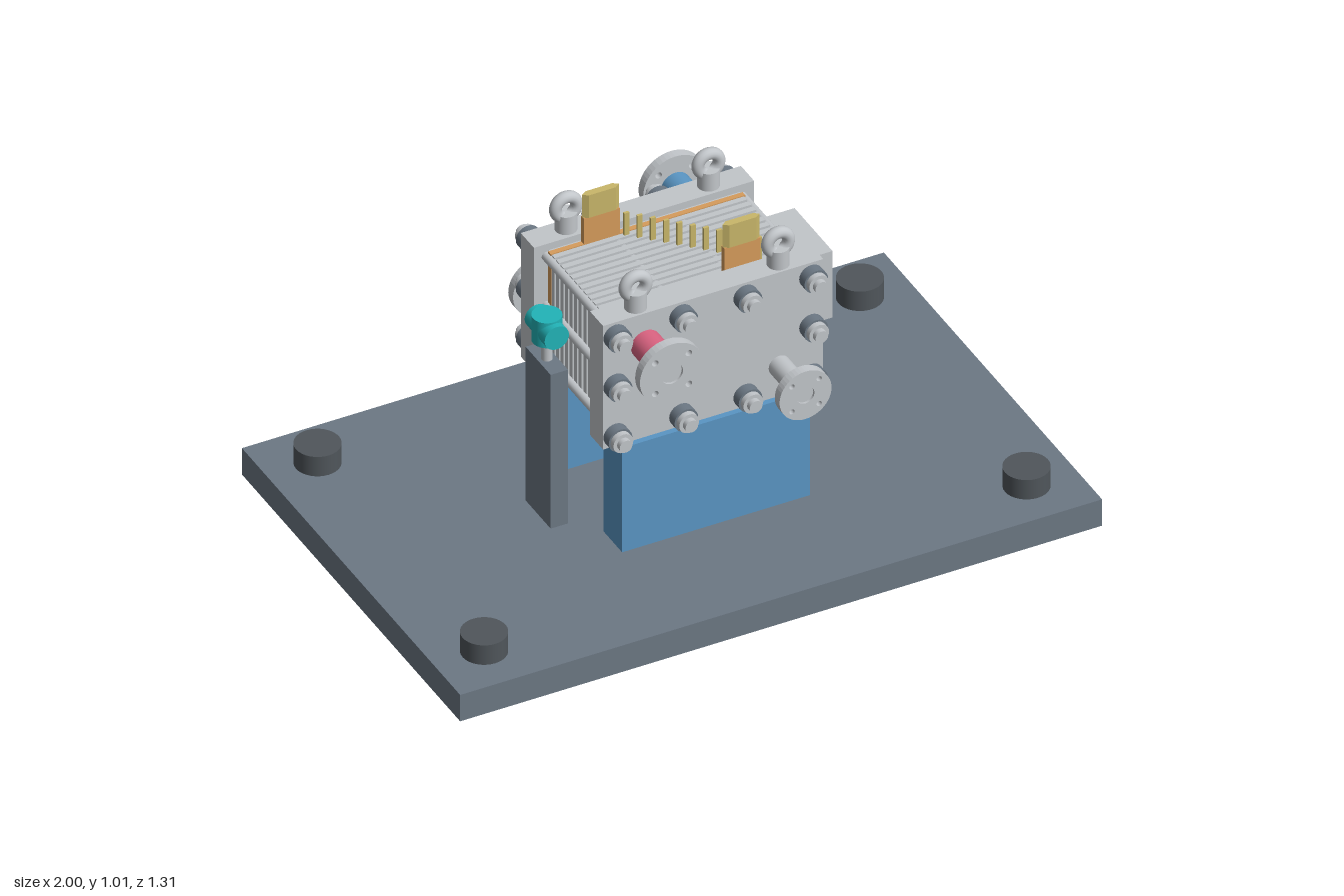
import * as THREE from 'three';

const mat = (name, color) => {
  const m = new THREE.MeshStandardMaterial({ color });
  m.name = name;
  return m;
};

export function createModel() {
  const model = new THREE.Group();
  model.name = 'cellStackOnBase';
  const slate = mat('slate', 0x6c7884), dark = mat('darkRubber', 0x50565b);
  const light = mat('lightMetal', 0xc2c6ca), blue = mat('blue', 0x5a96c4);
  const pink = mat('pink', 0xdc6482), cyan = mat('cyan', 0x22b4b8);
  const orange = mat('copper', 0xd69c5c), gold = mat('gold', 0xc9b76a);

  const add = (name, geometry, material, x = 0, y = 0, z = 0, parent = model) => {
    const mesh = new THREE.Mesh(geometry, material);
    mesh.name = name;
    mesh.position.set(x, y, z);
    parent.add(mesh);
    return mesh;
  };
  // box from its limits on each axis
  const box = (name, m, x0, x1, y0, y1, z0, z1) =>
    add(name, new THREE.BoxGeometry(x1 - x0, y1 - y0, z1 - z0), m, (x0 + x1) / 2, (y0 + y1) / 2, (z0 + z1) / 2);
  const cylY = (name, m, r, x, y0, y1, z, n = 32) =>
    add(name, new THREE.CylinderGeometry(r, r, y1 - y0, n), m, x, (y0 + y1) / 2, z);
  const cylZ = (name, m, r, x, y, z0, z1, n = 32) =>
    add(name, new THREE.CylinderGeometry(r, r, Math.abs(z1 - z0), n).rotateX(Math.PI / 2), m, x, y, (z0 + z1) / 2);

  // base with four mounts
  box('basePlate', slate, -1, 1, 0, 0.09, -0.655, 0.655);
  for (const x of [-0.845, 0.845])
    for (const z of [-0.5, 0.5]) cylY('mount', dark, 0.067, x, 0.09, 0.156, z);

  // bolt pattern shared by tie rods and nuts
  const bolts = [];
  for (const y of [0.485, 0.823]) for (const x of [-0.305, -0.1, 0.1, 0.305]) bolts.push([x, y]);
  bolts.push([-0.305, 0.655], [0.305, 0.655]);
  for (const [x, y] of bolts) cylZ('tieRod', light, 0.014, x, y + 0.005, -0.17, 0.17, 16);

  for (const s of [-1, 1]) {
    // supports, end plates, insulators and collectors at both ends
    const slab = (name, m, x0, x1, y0, y1, a, b) =>
      box(name, m, x0, x1, y0, y1, Math.min(s * a, s * b), Math.max(s * a, s * b));
    slab('support', blue, -0.293, 0.293, 0.09, 0.446, 0.152, 0.265);
    slab('endPlate', light, -0.343, 0.343, 0.446, 0.868, 0.168, 0.247);
    slab('insulator', light, -0.298, 0.298, 0.46, 0.845, 0.16, 0.168);
    slab('collectorPlate', orange, -0.303, 0.303, 0.46, 0.848, 0.144, 0.16);

    // terminal: copper root and gold blade with pointed ends
    const tx = s > 0 ? 0.136 : -0.144;
    slab('terminalRoot', orange, tx - 0.056, tx + 0.056, 0.848, 0.935, 0.144, 0.16);
    const blade = new THREE.Shape([[-0.058, 0], [-0.042, -0.011], [0.042, -0.011],
      [0.058, 0], [0.042, 0.011], [-0.042, 0.011]].map(p => new THREE.Vector2(...p)));
    add('terminalBlade', new THREE.ExtrudeGeometry(blade, { depth: 0.077, bevelEnabled: false }).rotateX(-Math.PI / 2),
      gold, tx, 0.935, s * 0.152);

    // nuts on the outer face
    for (const [x, y] of bolts) {
      cylZ('nut', slate, 0.037, x, y, s * 0.247, s * 0.279, 24);
      cylZ('washer', light, 0.031, x, y, s * 0.279, s * 0.296, 24);
      cylZ('rodEnd', light, 0.02, x, y, s * 0.296, s * 0.312, 16);
    }

    // lifting eyes
    for (const x of [-0.222, 0.222]) {
      cylY('eyeCollar', light, 0.032, x, 0.868, 0.927, s * 0.209);
      add('liftingEye', new THREE.TorusGeometry(0.033, 0.018, 16, 32), light, x, 0.942, s * 0.209);
    }
  }

  // cell stack: plates, gaskets and a diagonal row of sensing tabs
  for (let i = 0; i < 11; i++) {
    const z = (i - 5) * 0.0272, x = 0.064 + z;
    box('cellPlate', light, -0.3, 0.3, 0.46, 0.845, z - 0.009, z + 0.009);
    box('sensingTab', gold, x - 0.008, x + 0.008, 0.845, 0.92, z - 0.004, z + 0.004);
  }
  for (let i = 0; i < 12; i++) {
    const z = (i - 5.5) * 0.0272;
    box('gasket', slate, -0.292, 0.292, 0.467, 0.837, z - 0.0046, z + 0.0046);
  }

  // pipe ports with drilled flanges
  const port = (name, m, x, y, s, pipeR, flangeR) => {
    cylZ(name + 'Pipe', m, pipeR, x, y, s * 0.247, s * 0.378);
    const disc = new THREE.Shape().absarc(0, 0, flangeR, 0, Math.PI * 2);
    const hole = (hx, hy, r) => disc.holes.push(new THREE.Path().absarc(hx, hy, r, 0, Math.PI * 2, true));
    hole(0, 0, flangeR * 0.34);
    for (let k = 0; k < 4; k++) {
      const a = Math.PI / 2 * k + Math.PI / 4;
      hole(Math.cos(a) * flangeR * 0.74, Math.sin(a) * flangeR * 0.74, flangeR * 0.1);
    }
    const g = new THREE.ExtrudeGeometry(disc, { depth: 0.029, bevelEnabled: false, curveSegments: 24 });
    add(name + 'Flange', g, light, x, y, s > 0 ? 0.376 : -0.405);
    cylZ(name + 'Bore', light, flangeR * 0.34, x, y, s * 0.379, s * 0.398);
  };
  port('frontUpper', pink, -0.21, 0.763, 1, 0.046, 0.1);
  port('frontLower', light, 0.206, 0.55, 1, 0.033, 0.081);
  port('backUpper', blue, 0.206, 0.763, -1, 0.045, 0.1);
  port('backLower', cyan, -0.21, 0.55, -1, 0.042, 0.09);

  // control box with its screen
  box('controlBox', light, 0.345, 0.441, 0.55, 0.777, -0.114, 0.114);
  box('screen', cyan, 0.441, 0.447, 0.586, 0.742, -0.075, 0.075);

  // sensor on a post
  box('sensorPost', slate, -0.417, -0.363, 0.09, 0.615, -0.075, 0.075);
  cylY('sensorStem', light, 0.016, -0.39, 0.615, 0.69, 0, 16);
  cylY('sensorBody', cyan, 0.043, -0.39, 0.68, 0.765, 0);
  cylZ('sensorHead', cyan, 0.038, -0.39, 0.722, -0.06, 0.06);

  return model;
}
